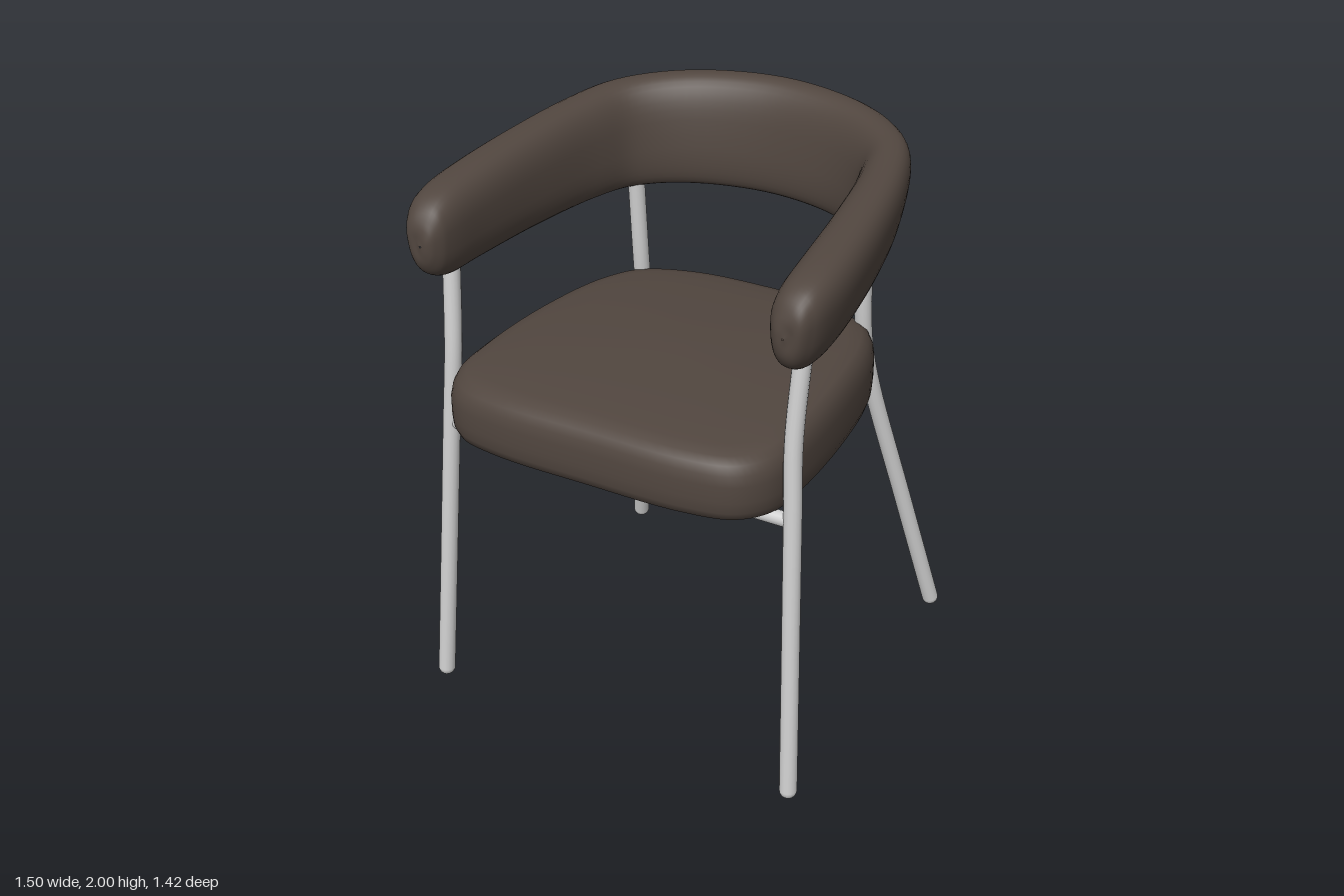
import * as THREE from 'three';

const fabric = new THREE.MeshStandardMaterial({ color: 0x51463f });
fabric.name = 'brown upholstery';
const metal = new THREE.MeshStandardMaterial({ color: 0xd0d0d0 });
metal.name = 'grey metal';

// Smooth skin over closed rings that all have the same number of points
function loft(rings) {
  const n = rings[0].length, index = [];
  for (let i = 0; i < rings.length - 1; i++) {
    for (let j = 0; j < n; j++) {
      const a = i * n + j, b = i * n + (j + 1) % n;
      index.push(a, b, a + n, b, b + n, a + n);
    }
  }
  const geo = new THREE.BufferGeometry().setFromPoints(rings.flat());
  geo.setIndex(index);
  geo.computeVertexNormals();
  return geo;
}

function add(parent, name, geo, mat) {
  const mesh = new THREE.Mesh(geo, mat);
  mesh.name = name;
  parent.add(mesh);
  return mesh;
}

// Round bar through points, with ball ends
function bar(name, points, radius) {
  const group = new THREE.Group();
  group.name = name;
  const pts = points.map(p => new THREE.Vector3(...p));
  const curve = new THREE.CatmullRomCurve3(pts);
  add(group, name + 'Tube', new THREE.TubeGeometry(curve, 40, radius, 16), metal);
  for (const p of [pts[0], pts[pts.length - 1]]) {
    add(group, name + 'End', new THREE.SphereGeometry(radius, 16, 12), metal).position.copy(p);
  }
  return group;
}

// Seat cushion: a rounded outline, scaled ring by ring from underside to crown
function seatGeometry() {
  const half = [[0.35, 0.703], [0.52, 0.66], [0.6, 0.56], [0.618, 0.38], [0.595, 0.02],
    [0.54, -0.27], [0.462, -0.41], [0.27, -0.492]];
  const outline = [[0, 0.71], ...half, [0, -0.51], ...half.map(([x, z]) => [-x, z]).reverse()];
  const curve = new THREE.CatmullRomCurve3(outline.map(([x, z]) => new THREE.Vector3(x, 0, z)), true);
  const edge = curve.getPoints(96).slice(0, 96);
  const cz = 0.1;
  // [outline scale, height fraction]
  const profile = [[0, 0], [0.5, 0], [0.9, 0], [0.945, 0.01], [0.978, 0.06], [0.995, 0.18], [1, 0.35], [1, 0.6],
    [0.99, 0.75], [0.968, 0.87], [0.93, 0.945], [0.86, 0.975], [0.7, 0.988], [0.45, 0.995], [0.2, 1], [0, 1]];
  return loft(profile.map(([s, t]) => edge.map(p => {
    const x = p.x * s, z = cz + (p.z - cz) * s;
    const bottom = 1.028 + 0.025 * z;
    const top = 1.31 - 0.08 * (z - 0.07) ** 2 - 0.04 * x * x;
    return new THREE.Vector3(x, bottom + (top - bottom) * t, z);
  })));
}

// Backrest and arms: one padded band swept round a U
function backrestGeometry() {
  // x, z, half thickness, outward lean, bottom, top
  const half = [
    [0.275, -0.511, 0.072, 0.037, 1.607, 1.992],
    [0.47, -0.383, 0.078, 0.034, 1.603, 1.973],
    [0.556, -0.2, 0.085, 0.025, 1.596, 1.95],
    [0.613, 0.08, 0.09, 0.016, 1.585, 1.92],
    [0.647, 0.35, 0.092, 0.01, 1.572, 1.888],
    [0.655, 0.5, 0.086, 0.008, 1.568, 1.862],
    [0.652, 0.575, 0.07, 0.005, 1.588, 1.825],
    [0.648, 0.612, 0.043, 0.003, 1.635, 1.768],
    [0.648, 0.621, 0.003, 0, 1.7, 1.705],
  ];
  const stations = [...half.map(([x, ...rest]) => [-x, ...rest]).reverse(),
    [0, -0.563, 0.072, 0.038, 1.608, 2.0], ...half];
  const path = new THREE.CatmullRomCurve3(
    stations.map(([x, z, , , b, t]) => new THREE.Vector3(x, (b + t) / 2, z)), false, 'catmullrom');
  const size = new THREE.CatmullRomCurve3(
    stations.map(([, , w, lean, b, t]) => new THREE.Vector3(w, (t - b) / 2, lean)), false, 'catmullrom');
  const power = (v, e) => Math.sign(v) * Math.abs(v) ** e;
  const rings = [], steps = 108, sides = 36;
  for (let i = 0; i <= steps; i++) {
    const c = path.getPoint(i / steps), s = size.getPoint(i / steps), dir = path.getTangent(i / steps);
    const out = new THREE.Vector3(dir.z, 0, -dir.x).normalize();
    const ring = [];
    for (let j = 0; j < sides; j++) {
      const a = j / sides * Math.PI * 2, v = power(Math.sin(a), 0.78);
      // Padding is a little fuller towards the top
      const width = s.x * (1 + 0.15 * v) * power(Math.cos(a), 0.82);
      const p = c.clone().addScaledVector(out, width + s.z * v);
      p.y += s.y * v;
      ring.push(p);
    }
    rings.push(ring);
  }
  return loft(rings);
}

export function createModel() {
  const chair = new THREE.Group();
  chair.name = 'armchair';
  add(chair, 'seatCushion', seatGeometry(), fabric);
  add(chair, 'backrestAndArms', backrestGeometry(), fabric);

  // Legs and rear seat supports, mirrored left and right
  for (const [side, m] of [['left', 1], ['right', -1]]) {
    chair.add(bar(side + 'FrontLeg', [[m * 0.69, 0.03, 0.585], [m * 0.667, 0.55, 0.55],
      [m * 0.645, 1.05, 0.517], [m * 0.634, 1.3, 0.5], [m * 0.645, 1.65, 0.463]], 0.03));
    chair.add(bar(side + 'BackLeg', [[m * 0.637, 0.03, -0.683], [m * 0.55, 0.52, -0.56],
      [m * 0.465, 1.0, -0.44], [m * 0.446, 1.16, -0.408], [m * 0.442, 1.3, -0.388], [m * 0.447, 1.64, -0.368]], 0.03));
    chair.add(bar(side + 'SeatSupport', [[m * 0.46, 1.02, -0.435], [m * 0.27, 1.026, -0.25]], 0.025));
  }

  // Rail under the front of the seat
  chair.add(bar('frontRail', [[-0.645, 1.023, 0.517], [0.645, 1.023, 0.517]], 0.025));
  return chair;
}
